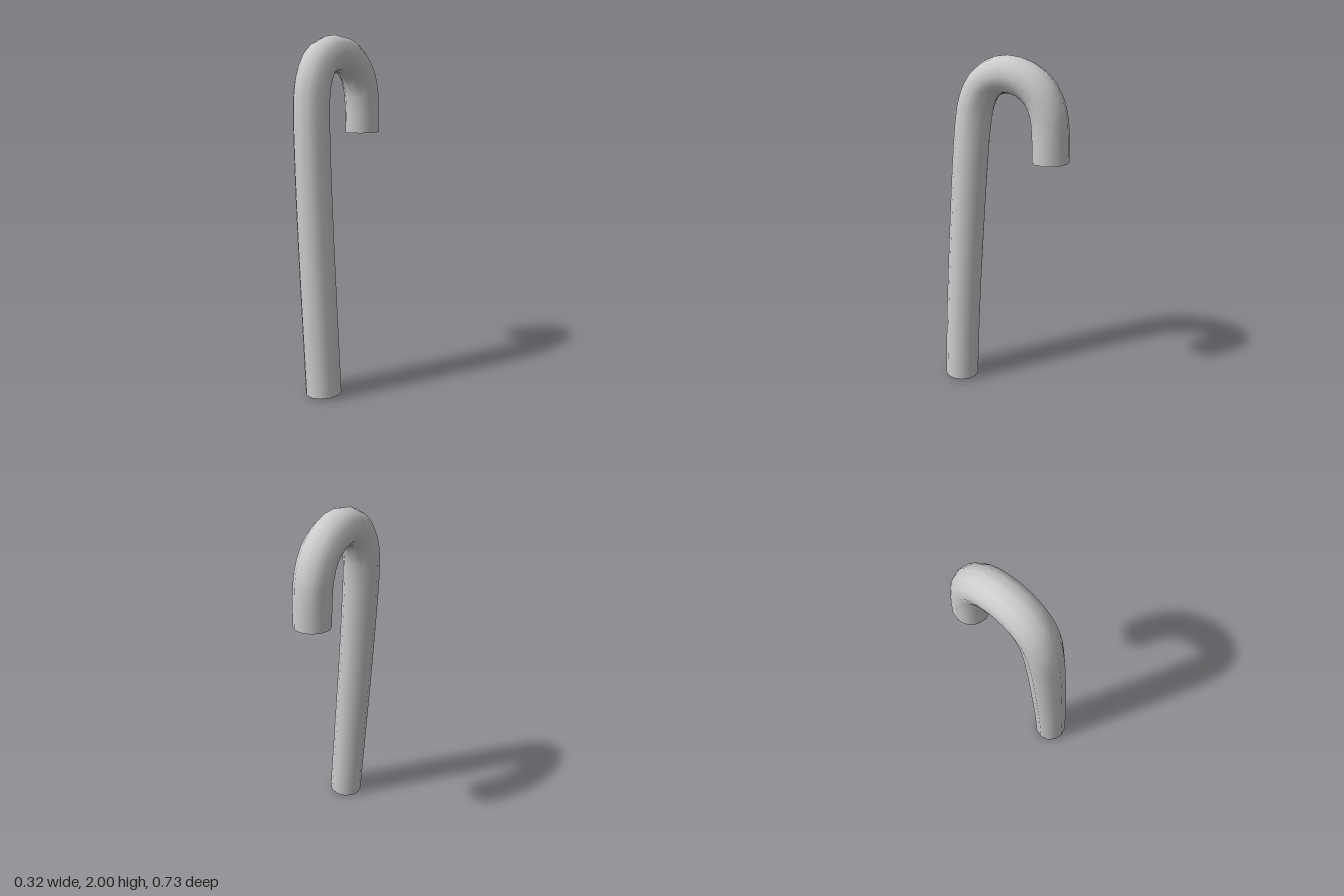
import * as THREE from 'three';

const RADIUS = 0.102, SIDES = 12, SEGMENTS = 48;

export function createModel() {
  const group = new THREE.Group();
  group.name = 'cane';
  const grey = new THREE.MeshStandardMaterial({ color: 0xcccccc });
  grey.name = 'light grey';

  // Centre line: leaning stem, then the hook bending backwards
  const path = new THREE.CatmullRomCurve3([
    [0.06, 0.007, 0.267], [0.027, 0.5, 0.262], [-0.01, 1.0, 0.25],
    [-0.038, 1.4, 0.235], [-0.052, 1.6, 0.222], [-0.058, 1.73, 0.2],
    [-0.06, 1.83, 0.15], [-0.06, 1.882, 0.08], [-0.06, 1.899, -0.01],
    [-0.06, 1.874, -0.115], [-0.06, 1.81, -0.196], [-0.06, 1.71, -0.244],
    [-0.06, 1.6, -0.259], [-0.06, 1.45, -0.264],
  ].map((p) => new THREE.Vector3(...p)));

  // Smooth round rod
  const tube = new THREE.TubeGeometry(path, SEGMENTS, RADIUS, SIDES, false);
  const rod = new THREE.Mesh(tube, grey);
  rod.name = 'rod';
  group.add(rod);

  // Flat cap on each end, lined up with the rod's sides
  const addCap = (name, index, sign) => {
    const n = tube.normals[index];
    const b = tube.binormals[index].clone().multiplyScalar(sign);
    const t = tube.tangents[index].clone().multiplyScalar(sign);
    const cap = new THREE.CircleGeometry(RADIUS, SIDES);
    cap.applyMatrix4(new THREE.Matrix4().makeBasis(n, b, t)
      .setPosition(path.getPointAt(index / SEGMENTS)));
    const mesh = new THREE.Mesh(cap, grey);
    mesh.name = name;
    group.add(mesh);
  };
  addCap('footCap', 0, -1);
  addCap('hookCap', SEGMENTS, 1);

  return group;
}
